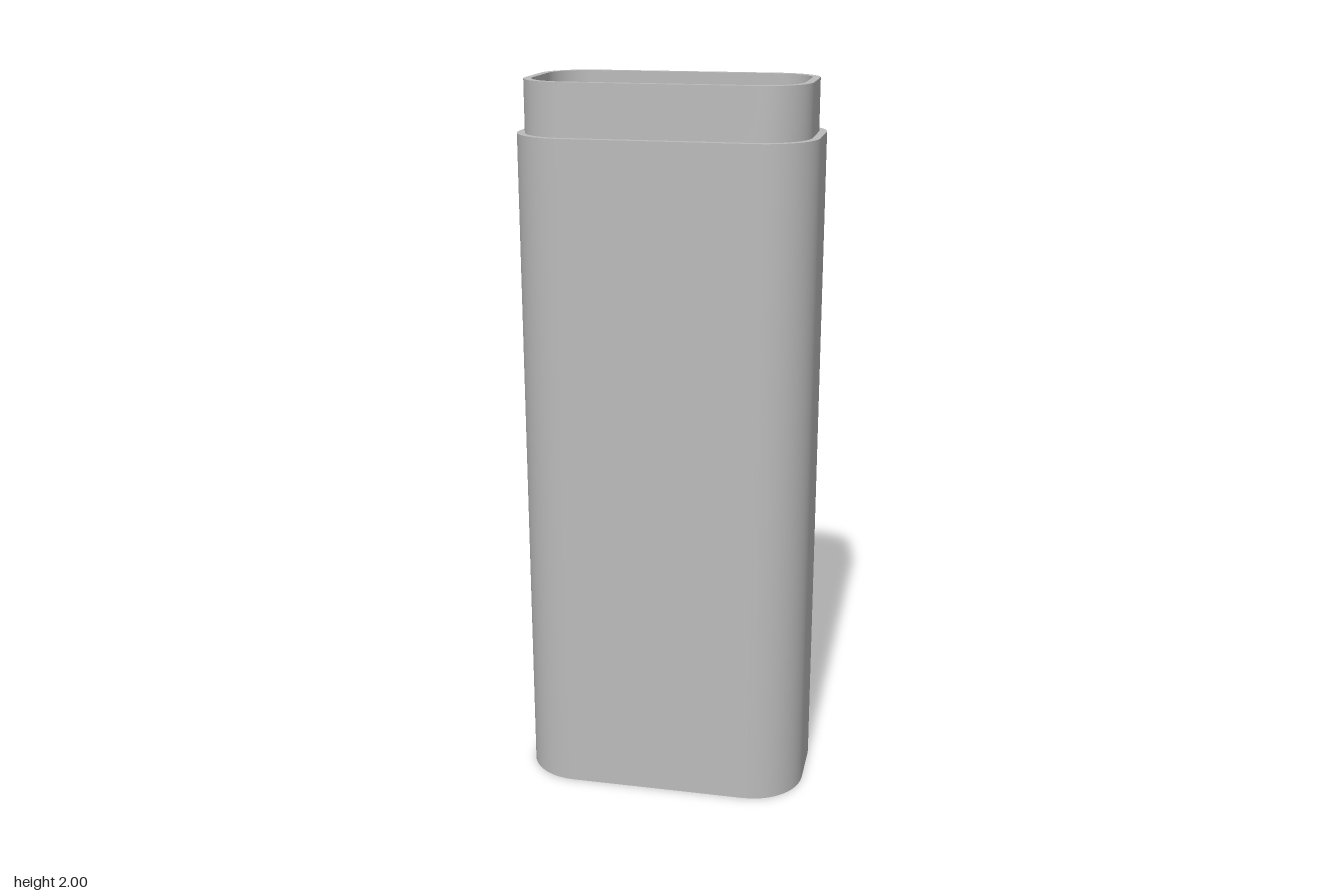
import * as THREE from 'three';
import { toCreasedNormals } from 'three/addons/utils/BufferGeometryUtils.js';

const TOP = 2, SHOULDER = 1.86, FLOOR = 0.04, CORNER_STEPS = 12;

// Counter-clockwise rounded rectangle from its half sizes and corner radius
function roundedRect(hx, hy, r, cx = 0, cy = 0) {
  const points = [];
  const corners = [[1, 1], [-1, 1], [-1, -1], [1, -1]];
  corners.forEach(([sx, sy], q) => {
    for (let i = 0; i <= CORNER_STEPS; i++) {
      const a = (q + i / CORNER_STEPS) * Math.PI / 2;
      points.push(new THREE.Vector2(
        cx + sx * (hx - r) + r * Math.cos(a),
        cy + sy * (hy - r) + r * Math.sin(a)));
    }
  });
  return points;
}

// Skin joining a list of [outline, height] sections
function loft(sections) {
  const n = sections[0][0].length, positions = [], index = [];
  for (const [outline, y] of sections) {
    for (const p of outline) positions.push(p.x, y, -p.y);
  }
  for (let s = 0; s < sections.length - 1; s++) {
    for (let i = 0; i < n; i++) {
      const a = s * n + i, b = s * n + (i + 1) % n;
      index.push(a, b, b + n, a, b + n, a + n);
    }
  }
  const geometry = new THREE.BufferGeometry();
  geometry.setAttribute('position', new THREE.Float32BufferAttribute(positions, 3));
  geometry.setIndex(index);
  return toCreasedNormals(geometry, Math.PI / 6);
}

export function createModel() {
  const group = new THREE.Group();
  const grey = new THREE.MeshStandardMaterial({ color: 0xbbbbbb });
  grey.name = 'grey';
  const add = (name, geometry) => {
    const mesh = new THREE.Mesh(geometry, grey);
    mesh.name = name;
    group.add(mesh);
  };

  const outer = roundedRect(0.403, 0.221, 0.15);
  const lip = roundedRect(0.382, 0.2, 0.129);
  const inner = roundedRect(0.361, 0.178, 0.108);

  // Hollow case: outer wall, shoulder, raised lip, rim and inner wall
  add('caseShell', loft([
    [outer, 0], [outer, SHOULDER], [lip, SHOULDER],
    [lip, TOP], [inner, TOP], [inner, FLOOR],
  ]));

  // Two columns of three round-ended vent slots
  const slots = [];
  for (const x of [-0.169, 0.169]) {
    for (const z of [-0.085, 0, 0.085]) slots.push(roundedRect(0.128, 0.0225, 0.0224, x, z));
  }
  slots.forEach((slot) => add('ventSlotWall', loft([[slot, FLOOR], [slot, 0]])));

  // Underside and inside of the slotted floor
  const slottedPlate = (outline) => {
    const shape = new THREE.Shape(outline);
    shape.holes = slots.map((slot) => new THREE.Path(slot));
    return new THREE.ShapeGeometry(shape);
  };
  add('floorInside', slottedPlate(inner).rotateX(-Math.PI / 2).translate(0, FLOOR, 0));
  add('floorUnderside', slottedPlate(outer).rotateX(Math.PI / 2));

  return group;
}
